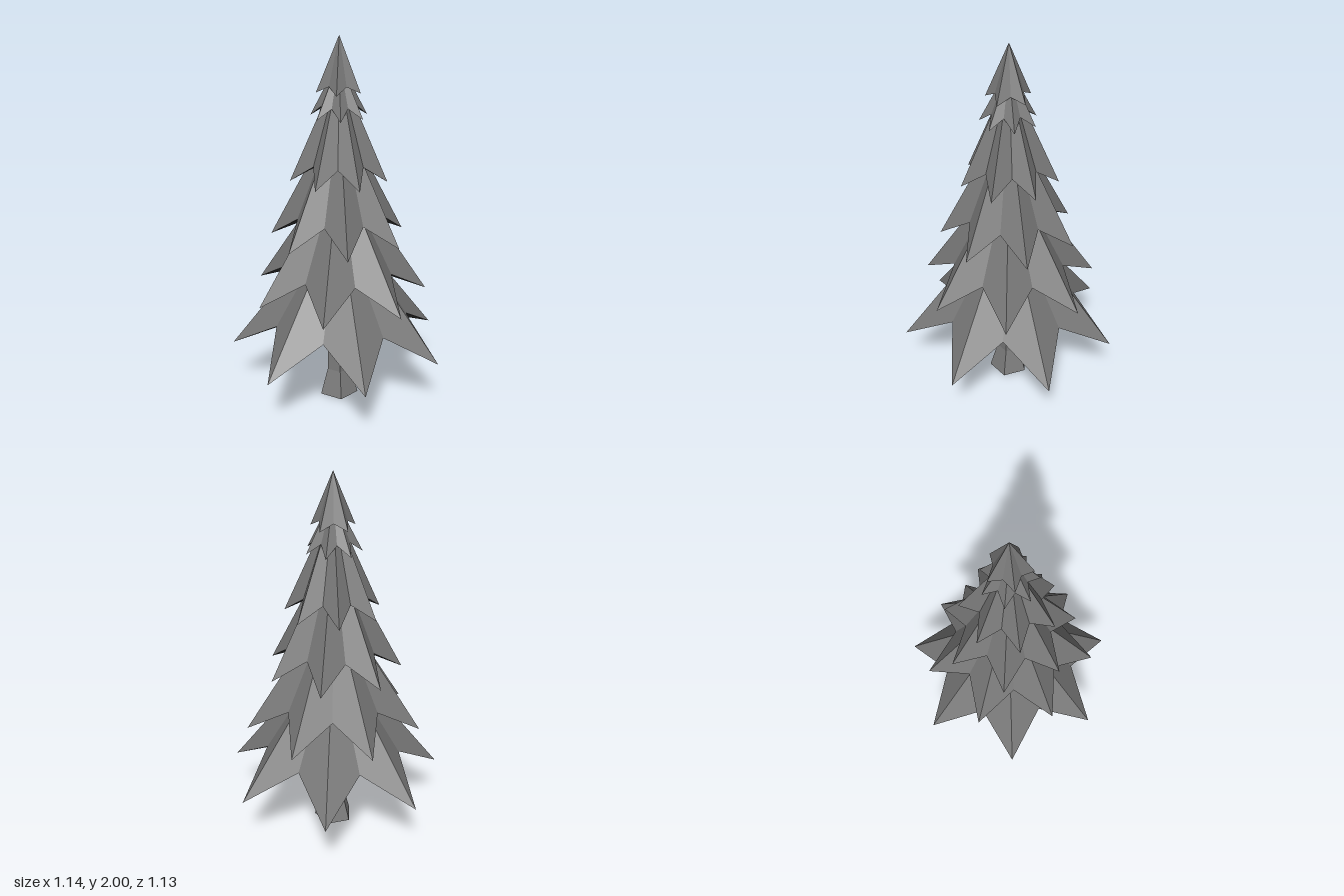
import * as THREE from 'three';

function makeMaterial(name, color) {
  const material = new THREE.MeshStandardMaterial({ color });
  material.name = name;
  return material;
}

// One star-shaped skirt of branches: drooping tips, raised notches, closed underside
function branchTier({ points, apex, tipR, tipY, notchY, angle }) {
  const notchR = tipR * 0.63;
  const rim = [];
  for (let i = 0; i < points * 2; i++) {
    const a = THREE.MathUtils.degToRad(angle) + (i * Math.PI) / points;
    const isTip = i % 2 === 0;
    const r = isTip ? tipR : notchR;
    rim.push([Math.cos(a) * r, isTip ? tipY : notchY, Math.sin(a) * r]);
  }
  const top = [0, apex, 0];
  const under = [0, notchY + 0.04, 0];
  const upperFaces = [];
  const lowerFaces = [];
  rim.forEach((p, i) => {
    const next = rim[(i + 1) % rim.length];
    upperFaces.push(...top, ...next, ...p);
    lowerFaces.push(...under, ...p, ...next);
  });
  const geometry = new THREE.BufferGeometry();
  geometry.setAttribute('position', new THREE.Float32BufferAttribute([...upperFaces, ...lowerFaces], 3));
  geometry.computeVertexNormals();
  geometry.addGroup(0, rim.length * 3, 0);
  geometry.addGroup(rim.length * 3, rim.length * 3, 1);
  return geometry;
}

// Five-sided hollow trunk with a flared foot, a flat side to the front
function trunkGeometry() {
  const profile = [[0.109, 0], [0.067, 0.15], [0.061, 0.56]]
    .map(([r, y]) => new THREE.Vector2(r, y));
  const geometry = new THREE.LatheGeometry(profile, 5, Math.PI).toNonIndexed();
  geometry.computeVertexNormals();
  return geometry;
}

export function createModel() {
  const model = new THREE.Group();
  model.name = 'pineTree';

  const foliage = makeMaterial('foliageGrey', 0x787878);
  const underside = makeMaterial('undersideDark', 0x383838);
  const bark = makeMaterial('barkGrey', 0x7c7c7c);
  bark.side = THREE.DoubleSide;

  const add = (name, geometry, material) => {
    const mesh = new THREE.Mesh(geometry, material);
    mesh.name = name;
    mesh.position.set(0.013, 0, 0.018);
    model.add(mesh);
  };

  add('trunk', trunkGeometry(), bark);

  // Tiers from the ground up, each turned against its neighbour
  const tiers = [
    { points: 7, apex: 1.07, tipR: 0.586, tipY: 0.306, notchY: 0.485, angle: 17.7 },
    { points: 7, apex: 1.35, tipR: 0.474, tipY: 0.628, notchY: 0.77, angle: -11.1 },
    { points: 7, apex: 1.64, tipR: 0.363, tipY: 0.945, notchY: 1.066, angle: 23.8 },
    { points: 7, apex: 1.84, tipR: 0.256, tipY: 1.267, notchY: 1.355, angle: 7 },
    { points: 7, apex: 1.88, tipR: 0.148, tipY: 1.595, notchY: 1.65, angle: 27.9 },
    { points: 5, apex: 2, tipR: 0.118, tipY: 1.72, notchY: 1.755, angle: -4 },
  ];
  tiers.forEach((tier, i) => add(`branchTier${i + 1}`, branchTier(tier), [foliage, underside]));

  return model;
}
